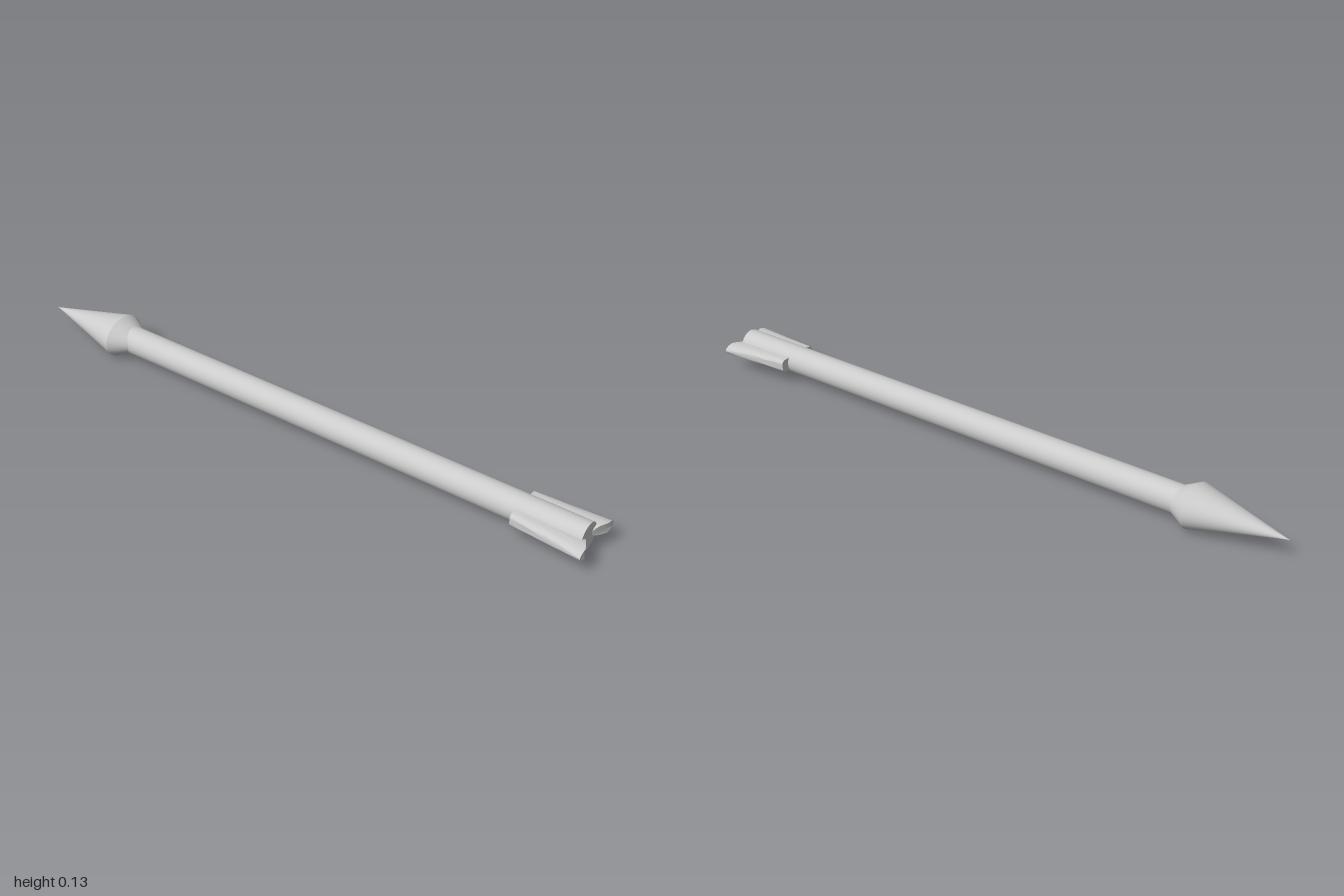
import * as THREE from 'three';
import { toCreasedNormals } from 'three/addons/utils/BufferGeometryUtils.js';

const AXIS_Y = 0.067;
const material = new THREE.MeshStandardMaterial({ color: 0xcccccc });

// One point of a fin section: blocky at the leading end, elliptical at the tail
function finPoint(angle, t) {
  const power = THREE.MathUtils.lerp(0.45, 1, t);
  const c = Math.cos(angle), s = Math.sin(angle);
  const x = THREE.MathUtils.lerp(0.035, 0.057, t)
    + THREE.MathUtils.lerp(0.036, 0.04, t) * Math.sign(c) * Math.abs(c) ** power;
  const y = THREE.MathUtils.lerp(0.022, 0.017, t) * Math.sign(s) * Math.abs(s) ** power;
  // The tail end slants outward beyond the end of the shaft
  const tail = 0.974 + 0.026 * Math.min(1, Math.max(0, (x - 0.017) / 0.05));
  return [x, y, THREE.MathUtils.lerp(0.77, tail, t)];
}

// Lofted fin on the +x side, closed at both ends
function finGeometry() {
  const sides = 32, steps = 6, positions = [], index = [];
  for (let j = 0; j <= steps; j++) {
    for (let i = 0; i < sides; i++) positions.push(...finPoint((i / sides) * Math.PI * 2, j / steps));
  }
  for (let j = 0; j < steps; j++) {
    for (let i = 0; i < sides; i++) {
      const a = j * sides + i, b = j * sides + (i + 1) % sides;
      index.push(a, b, b + sides, a, b + sides, a + sides);
    }
  }
  const front = positions.length / 3, back = front + 1;
  positions.push(0.035, 0, 0.77, 0.057, 0, 0.993);
  for (let i = 0; i < sides; i++) {
    const n = (i + 1) % sides;
    index.push(front, n, i, back, steps * sides + i, steps * sides + n);
  }
  const geometry = new THREE.BufferGeometry();
  geometry.setAttribute('position', new THREE.Float32BufferAttribute(positions, 3));
  geometry.setIndex(index);
  return toCreasedNormals(geometry, 0.7);
}

export function createModel() {
  const model = new THREE.Group();
  model.name = 'arrow';
  const add = (name, geometry) => {
    const mesh = new THREE.Mesh(geometry, material);
    mesh.name = name;
    mesh.position.y = AXIS_Y;
    model.add(mesh);
    return mesh;
  };

  // Round shaft along z
  const shaft = new THREE.CylinderGeometry(0.045, 0.045, 1.675, 40);
  shaft.rotateX(Math.PI / 2).translate(0, 0, 0.1375);
  add('shaft', shaft);

  // Flattened double-cone head, its rear cone running into the shaft
  const profile = [[0, 0.575], [0.081, 0.71], [0, 1]].map(([r, h]) => new THREE.Vector2(r, h));
  const head = toCreasedNormals(new THREE.LatheGeometry(profile, 40), 0.5);
  head.rotateX(-Math.PI / 2).scale(1, 0.066 / 0.081, 1);
  add('arrowhead', head);

  // Pair of fins, the second turned half way round the shaft
  const fin = finGeometry();
  add('leftFin', fin);
  add('rightFin', fin).rotation.z = Math.PI;

  return model;
}
